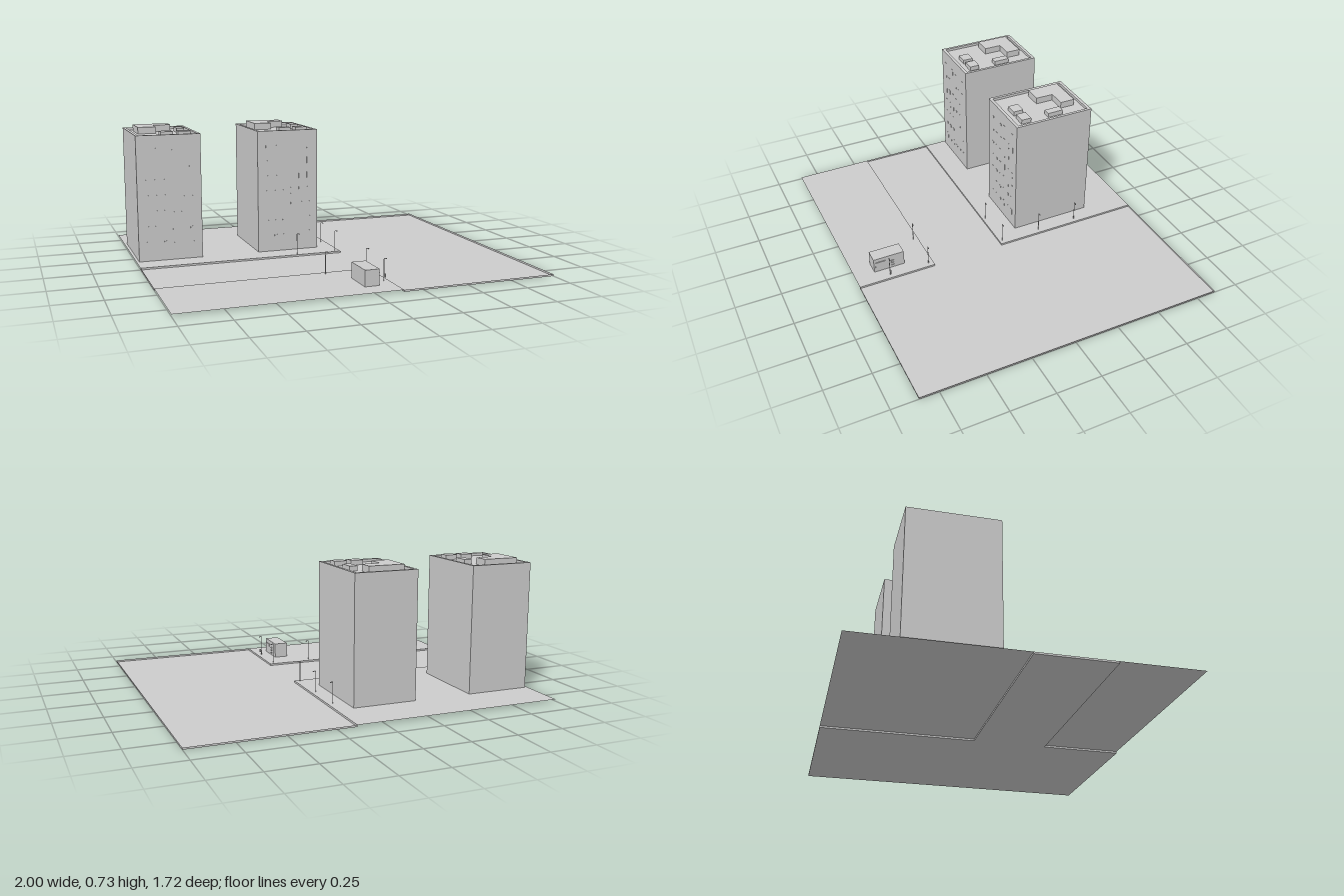
import * as THREE from 'three';

const CURB = 0.01;

export function createModel() {
  const model = new THREE.Group();
  const concrete = new THREE.MeshStandardMaterial({ color: 0xcccccc, side: THREE.DoubleSide });
  concrete.name = 'lightGrey';

  // Box given by its minimum and maximum on each axis
  const box = (name, x0, x1, y0, y1, z0, z1, parent = model) => {
    const mesh = new THREE.Mesh(new THREE.BoxGeometry(x1 - x0, y1 - y0, z1 - z0), concrete);
    mesh.position.set((x0 + x1) / 2, (y0 + y1) / 2, (z0 + z1) / 2);
    mesh.name = name;
    parent.add(mesh);
    return mesh;
  };
  // Outline in x,z extruded upwards from y0 to y1, with an optional hole
  const prism = (name, points, y0, y1, parent, hole) => {
    const toVectors = (list) => list.map(([x, z]) => new THREE.Vector2(x, -z));
    const shape = new THREE.Shape(toVectors(points));
    if (hole) shape.holes.push(new THREE.Path(toVectors(hole)));
    const geometry = new THREE.ExtrudeGeometry(shape, { depth: y1 - y0, bevelEnabled: false });
    geometry.rotateX(-Math.PI / 2).translate(0, y0, 0);
    const mesh = new THREE.Mesh(geometry, concrete);
    mesh.name = name;
    parent.add(mesh);
  };
  const rect = (x0, x1, z0, z1) => [[x0, z0], [x1, z0], [x1, z1], [x0, z1]];
  // Flat horizontal sheet
  const sheet = (name, x0, x1, z0, z1, y) => {
    const mesh = new THREE.Mesh(new THREE.PlaneGeometry(x1 - x0, z1 - z0).rotateX(-Math.PI / 2), concrete);
    mesh.position.set((x0 + x1) / 2, y, (z0 + z1) / 2);
    mesh.name = name;
    model.add(mesh);
  };

  // Ground: sunken T-shaped road between two raised pavements
  sheet('sideRoad', -1, 0.145, 0, 0.415, 0);
  sheet('mainRoad', 0.145, 1, -0.86, 0.855, 0);
  sheet('backPavement', -1, 0.145, -0.86, 0, CURB);
  sheet('frontPavement', -1, 0.145, 0.415, 0.855, CURB);

  // Curb faces following the road's outline
  const outline = [[-1, 0], [0.145, 0], [0.145, -0.86], [1, -0.86],
    [1, 0.855], [0.145, 0.855], [0.145, 0.415], [-1, 0.415]];
  outline.forEach(([x, z], i) => {
    const [u, w] = outline[(i + 1) % outline.length];
    const curb = new THREE.Mesh(new THREE.PlaneGeometry(Math.hypot(u - x, w - z), CURB), concrete);
    curb.position.set((x + u) / 2, CURB / 2, (z + w) / 2);
    curb.rotation.y = Math.atan2(-(w - z), u - x);
    curb.name = 'curb';
    model.add(curb);
  });

  // Tower with parapet, roof plant and rows of small windows
  const makeTower = (x, mirrored) => {
    const tower = new THREE.Group();
    tower.name = 'tower';
    tower.position.x = x;
    const roof = 0.69, top = 0.705, w = 0.355;
    box('towerBody', 0, w, CURB, roof, -0.605, -0.135, tower);
    prism('parapet', rect(0, w, -0.605, -0.135), roof, top, tower,
      rect(0.016, w - 0.016, -0.587, -0.153));
    prism('roofHouse', [[0.05, -0.55], [0.252, -0.55], [0.252, -0.465],
      [0.151, -0.465], [0.151, -0.364], [0.05, -0.364]], roof, 0.727, tower);
    box('roofUnit', 0.268, 0.311, roof, 0.716, -0.444, -0.353, tower);
    for (const ux of [0.145, 0.242]) box('roofUnit', ux, ux + 0.069, roof, 0.716, -0.246, -0.187, tower);
    for (let row = 0; row < 7; row++) {
      for (let col = 0; col < 6; col++) {
        const cx = 0.053 + col * 0.049;
        const wx = mirrored ? w - cx : cx;
        const y = 0.1 + row * 0.086;
        const h = col < 3 ? 0.018 : 0.006;
        box('window', wx - 0.009, wx + 0.009, y - h, y + h, -0.1355, -0.134, tower);
      }
    }
    model.add(tower);
  };
  makeTower(-0.985, false);
  makeTower(-0.305, true);

  // Kiosk with window, door and canopy on its street side
  const kiosk = new THREE.Group();
  kiosk.name = 'kiosk';
  box('kioskBody', -0.016, 0.062, CURB, 0.095, 0.565, 0.742, kiosk);
  box('kioskWindow', 0.062, 0.064, 0.032, 0.073, 0.674, 0.733, kiosk);
  box('kioskLedge', 0.062, 0.067, 0.07, 0.073, 0.674, 0.733, kiosk);
  for (const y of [0.022, 0.038, 0.054]) box('kioskShelf', 0.062, 0.066, y, y + 0.006, 0.625, 0.642, kiosk);
  model.add(kiosk);

  // Street lamps with a short arm over the pavement edge
  const lamps = [[0.118, -0.492], [0.118, -0.254], [0.118, -0.018],
    [-0.112, -0.018], [-0.112, 0.443], [0.118, 0.443], [0.118, 0.67]];
  for (const [x, z] of lamps) {
    const lamp = new THREE.Group();
    lamp.name = 'streetLamp';
    lamp.position.set(x, CURB, z);
    const pole = new THREE.Mesh(new THREE.CylinderGeometry(0.0018, 0.0022, 0.117, 8), concrete);
    pole.position.y = 0.0585;
    pole.name = 'lampPole';
    lamp.add(pole);
    box('lampArm', 0, 0.014, 0.115, 0.118, -0.0015, 0.0015, lamp);
    box('lampHead', 0.009, 0.016, 0.112, 0.116, -0.002, 0.002, lamp);
    model.add(lamp);
  }

  // Small bin hung on the pole beside the kiosk
  const bin = new THREE.Mesh(new THREE.CylinderGeometry(0.005, 0.004, 0.018, 10), concrete);
  bin.position.set(0.126, 0.036, 0.668);
  bin.name = 'litterBin';
  model.add(bin);

  return model;
}
